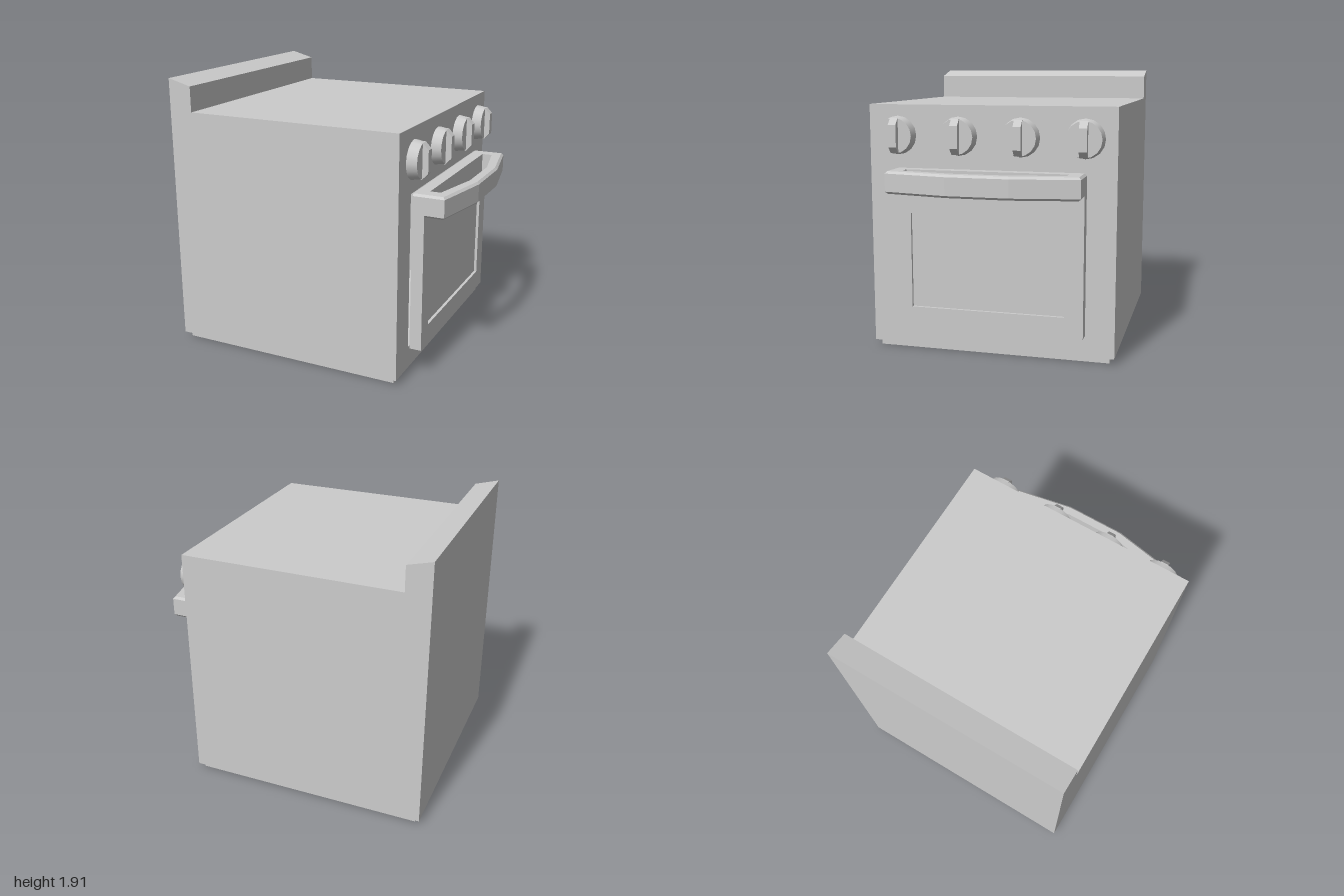
import * as THREE from 'three';

const V = (x, y, z) => new THREE.Vector3(x, y, z);
const grey = new THREE.MeshStandardMaterial({ color: 0xcccccc, side: THREE.DoubleSide });

// Flat-faced skin stretched over a series of matching sections
function loft(sections, closed = true) {
  const pts = [];
  for (let i = 0; i < sections.length - 1; i++) {
    const s = sections[i], t = sections[i + 1], n = s.length;
    for (let j = 0; j < (closed ? n : n - 1); j++) {
      const k = (j + 1) % n;
      pts.push(s[j], t[j], s[k], s[k], t[j], t[k]);
    }
  }
  const g = new THREE.BufferGeometry().setFromPoints(pts);
  g.computeVertexNormals();
  return g;
}

const shape = (pts) => new THREE.Shape(pts.map(([x, y]) => new THREE.Vector2(x, y)));
const rect = (w, y0, y1) => [[-w, y0], [w, y0], [w, y1], [-w, y1]];
const ringXZ = (x0, x1, z, y) => [V(x0, y, z), V(x1, y, z), V(x1, y, -z), V(x0, y, -z)];

function add(group, name, geometry) {
  const m = new THREE.Mesh(geometry, grey);
  m.name = name;
  group.add(m);
  return m;
}

function makeBody() {
  const g = new THREE.Group();
  g.name = 'body';
  const W = 0.845;
  // Back, sloped backsplash and cooktop in one bent sheet
  const profile = [[-1, 0.04], [-1, 1.915], [-0.83, 1.87], [-0.83, 1.695], [0.69, 1.695]];
  add(g, 'backAndTop', loft([-W, W].map((z) => profile.map(([x, y]) => V(x, y, z))), false));
  for (const s of [1, -1]) {
    const side = new THREE.ShapeGeometry(shape([...profile, [0.69, 0.04]]));
    if (s < 0) side.rotateY(Math.PI).scale(-1, 1, 1);
    add(g, s > 0 ? 'leftSide' : 'rightSide', side.translate(0, 0, s * W));
  }
  // Front with the oven opening
  const front = shape(rect(W, 0.04, 1.695));
  front.holes.push(shape(rect(0.645, 0.195, 1.265)));
  add(g, 'front', new THREE.ShapeGeometry(front).rotateY(Math.PI / 2).translate(0.69, 0, 0));
  // Inset plinth, open underneath
  add(g, 'plinth', loft([
    ringXZ(-1, 0.69, W, 0.04), ringXZ(-0.965, 0.66, 0.81, 0.04), ringXZ(-0.965, 0.66, 0.81, 0),
  ]));
  // Oven cavity
  const mouth = (x) => rect(0.645, 0.195, 1.265).map(([z, y]) => V(x, y, z));
  add(g, 'cavity', loft([mouth(0.69), mouth(-0.62)]));
  add(g, 'cavityBack', new THREE.PlaneGeometry(1.29, 1.07).rotateY(Math.PI / 2).translate(-0.62, 0.73, 0));
  return g;
}

function makeDoor() {
  const g = new THREE.Group();
  g.name = 'door';
  const outline = [[-0.65, 0.19], [0.65, 0.19], [0.65, 1.255], [0.635, 1.27], [-0.635, 1.27], [-0.65, 1.255]];
  const slab = (s, x0, x1) => new THREE.ExtrudeGeometry(s, { depth: x1 - x0, bevelEnabled: false })
    .rotateY(Math.PI / 2).translate(x0, 0, 0);
  add(g, 'doorPanel', slab(shape(outline), 0.703, 0.765));
  // Raised frame around the sunken window
  const frame = shape(outline);
  frame.holes.push(shape(rect(0.525, 0.33, 0.975)));
  add(g, 'doorFrame', slab(frame, 0.765, 0.785));
  return g;
}

// Bowed handle: [outer x, outer z, chamfer x, chamfer z, inner x, inner z] for one half
function makeHandle() {
  const half = [
    [0.78, 0.65, 0.78, 0.635, 0.78, 0.55],
    [0.918, 0.65, 0.905, 0.635, 0.855, 0.55],
    [1.0, 0.21, 0.985, 0.205, 0.93, 0.19],
  ];
  const section = ([ox, oz, cx, cz, ix, iz], s) => [
    V(ix, 1.12, s * iz), V(ix, 1.27, s * iz), V(cx, 1.27, s * cz),
    V(ox, 1.255, s * oz), V(ox, 1.135, s * oz), V(cx, 1.12, s * cz),
  ];
  return loft([...half.map((p) => section(p, -1)), ...half.slice().reverse().map((p) => section(p, 1))]);
}

function makeKnob(z) {
  const g = new THREE.Group();
  g.name = 'knob';
  add(g, 'knobDial', new THREE.CylinderGeometry(0.118, 0.13, 0.068, 16)
    .rotateZ(-Math.PI / 2).translate(0.736, 0, 0));
  // Grip ridge with sloped ends
  const grip = shape([[0.76, -0.118], [0.77, -0.117], [0.81, -0.075], [0.81, 0.075], [0.77, 0.117], [0.76, 0.118]]);
  add(g, 'knobGrip', new THREE.ExtrudeGeometry(grip, { depth: 0.054, bevelEnabled: false })
    .translate(0, 0, -0.027));
  g.position.set(0, 1.49, z);
  return g;
}

export function createModel() {
  const model = new THREE.Group();
  model.name = 'oven';
  model.add(makeBody(), makeDoor());
  add(model, 'handle', makeHandle());
  for (const z of [-0.638, -0.212, 0.212, 0.638]) model.add(makeKnob(z));
  return model;
}
